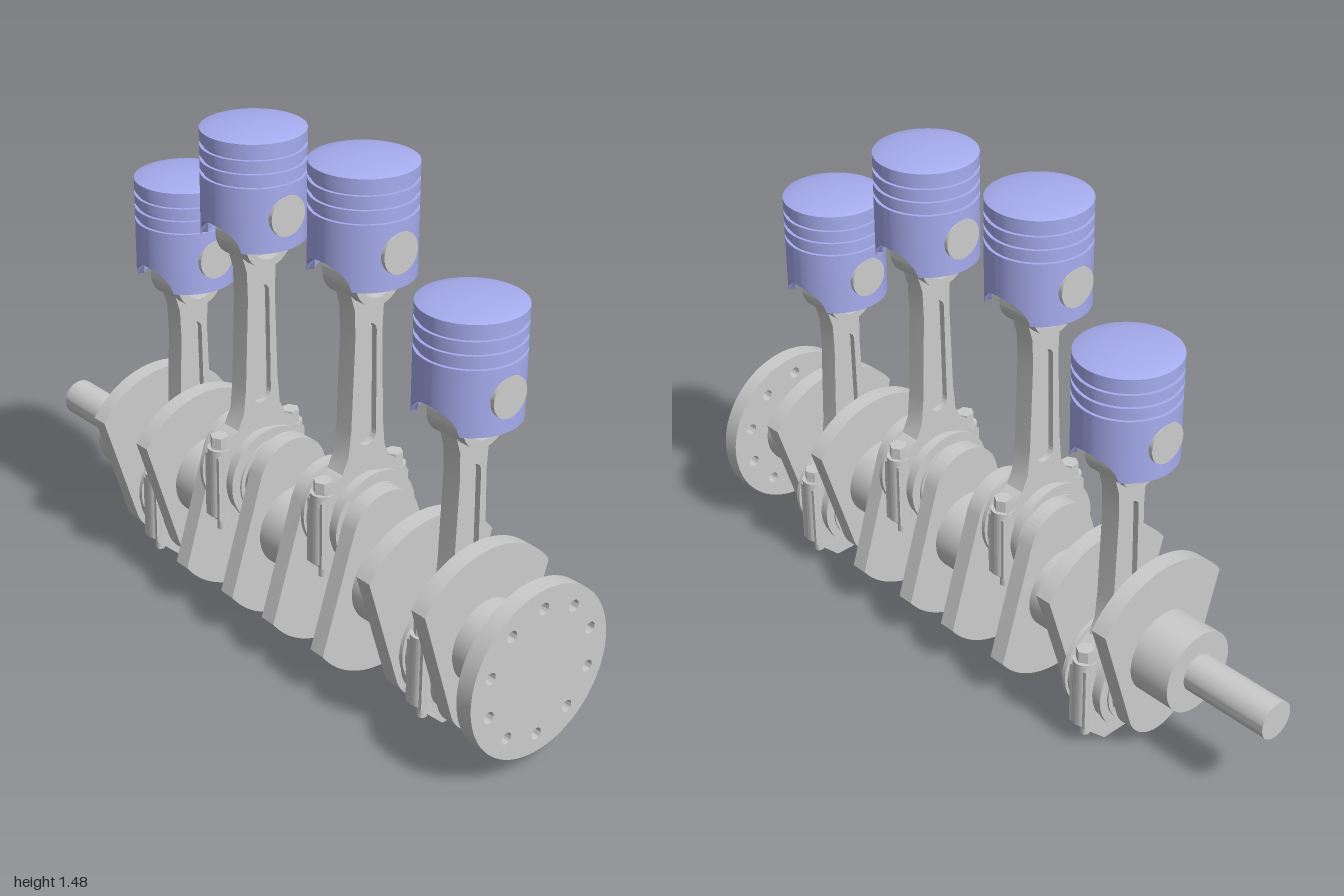
import * as THREE from 'three';
import { toCreasedNormals } from 'three/addons/utils/BufferGeometryUtils.js';

const grey = new THREE.MeshStandardMaterial({ color: 0xcccccc });
const blue = new THREE.MeshStandardMaterial({ color: 0xa6acee });

const AXIS = 0.305;   // height of the crank axis
const THROW = 0.15;   // crank pin offset

function add(parent, name, geometry, material = grey) {
  const mesh = new THREE.Mesh(toCreasedNormals(geometry, 0.5), material);
  mesh.name = name;
  parent.add(mesh);
  return mesh;
}

// cylinder lying along x between two stations
function rodX(x0, x1, r) {
  return new THREE.CylinderGeometry(r, r, x1 - x0, 48).rotateZ(Math.PI / 2).translate((x0 + x1) / 2, 0, 0);
}

// side profile (z, y) extruded along x, centred on x = 0
function plateX(shape, width) {
  return new THREE.ExtrudeGeometry(shape, { depth: width, bevelEnabled: false, curveSegments: 32 })
    .translate(0, 0, -width / 2).rotateY(Math.PI / 2);
}

function circlePath(x, y, r) {
  return new THREE.Path().absarc(x, y, r, 0, Math.PI * 2, true);
}

function ringX(outer, inner, width) {
  const s = new THREE.Shape().absarc(0, 0, outer, 0, Math.PI * 2);
  s.holes.push(circlePath(0, 0, inner));
  return plateX(s, width);
}

// counterweight arc tapering to a rounded crank pin end (pin below the axis)
function webShape() {
  const a = Math.atan2(0.155, 0.22);
  const s = new THREE.Shape();
  s.absarc(0, 0, 0.27, a, Math.PI - a);
  s.absarc(0, -THROW, 0.12, Math.PI + 0.3, Math.PI * 2 - 0.3);
  s.closePath();
  return s;
}

function flangeShape() {
  const s = new THREE.Shape().absarc(0, 0, 0.243, 0, Math.PI * 2);
  for (let i = 0; i < 10; i++) {
    const t = i * Math.PI / 5;
    s.holes.push(circlePath(0.187 * Math.sin(t), 0.187 * Math.cos(t), 0.017));
  }
  return s;
}

// hollow piston with ring grooves, domed crown and arched skirt cutouts
function pistonGeometry() {
  const R = 0.1425, base = 0.89, inner = 0.123;
  const p = [[0, 1.09], [inner, 1.09], [inner, base], [R, base]];
  for (const y of [1.072, 1.11, 1.148]) {
    p.push([R, y], [R - 0.009, y], [R - 0.009, y + 0.013], [R, y + 0.013]);
  }
  p.push([R, 1.193]);
  for (let i = 5; i >= 0; i--) {
    const k = i / 5.2;
    p.push([R * k, 1.21 - 0.016 * k * k]);
  }
  const g = new THREE.LatheGeometry(p.map(([x, y]) => new THREE.Vector2(x, y)), 96);
  const pos = g.attributes.position;
  for (let i = 0; i < pos.count; i++) {
    if (pos.getY(i) > base + 0.001) continue;
    const k = pos.getX(i) / 0.085;
    if (Math.abs(k) < 1) pos.setY(i, base + 0.065 * Math.sqrt(1 - k * k));
  }
  return g;
}

// side outline of the connecting rod, bottom cap at y = 0
function rodShape() {
  const half = [[0.075, 0], [0.155, 0.075], [0.155, 0.27], [0.125, 0.31], [0.085, 0.335],
    [0.064, 0.38], [0.056, 0.46], [0.047, 0.72], [0.05, 0.8], [0.065, 0.85]];
  const pts = [...half, ...half.map(([x, y]) => [-x, y]).reverse()];
  const s = new THREE.Shape(pts.map(([x, y]) => new THREE.Vector2(x, y)));
  s.holes.push(circlePath(0, 0.185, 0.11));
  return s;
}

function slotPath() {
  const s = new THREE.Path();
  s.absarc(0, 0.43, 0.032, 0, -Math.PI, true);
  s.absarc(0, 0.725, 0.027, Math.PI, 0, true);
  s.closePath();
  return s;
}

function buildRod() {
  const rod = new THREE.Group();
  rod.name = 'connectingRod';
  const flanged = rodShape();
  flanged.holes.push(slotPath());
  add(rod, 'rodBeam', plateX(flanged, 0.06));
  const web = new THREE.Shape(slotPath().getPoints(16));
  add(rod, 'rodWeb', plateX(web, 0.024));
  add(rod, 'smallEnd', ringX(0.08, 0.057, 0.13)).position.y = 0.895;
  add(rod, 'bigEnd', ringX(0.132, 0.108, 0.12)).position.y = 0.185;
  add(rod, 'bearingShell', ringX(0.114, 0.1, 0.155)).position.y = 0.185;
  for (const side of [-1, 1]) {
    add(rod, 'bearingLip', ringX(0.142, 0.108, 0.012)).position.set(side * 0.066, 0.19, 0);
    // bolt boss, bolt head above and bolt end below
    const boss = new THREE.CylinderGeometry(0.034, 0.034, 0.21, 24);
    add(rod, 'boltBoss', boss).position.set(0, 0.185, side * 0.128);
    const head = new THREE.CylinderGeometry(0.026, 0.026, 0.04, 6);
    add(rod, 'boltHead', head).position.set(0, 0.305, side * 0.128);
    const end = new THREE.CylinderGeometry(0.014, 0.014, 0.05, 16);
    add(rod, 'boltEnd', end).position.set(0, 0.055, side * 0.122);
  }
  return rod;
}

function buildPiston() {
  const piston = new THREE.Group();
  piston.name = 'piston';
  add(piston, 'pistonBody', pistonGeometry(), blue);
  add(piston, 'wristPin', rodX(-0.143, 0.143, 0.057)).position.y = 0.985;
  for (const side of [-1, 1]) {
    const boss = rodX(-0.022, 0.022, 0.072);
    add(piston, 'pinBoss', boss, blue).position.set(side * 0.097, 0.985, 0);
  }
  return piston;
}

export function createModel() {
  const model = new THREE.Group();
  model.name = 'crankshaftAssembly';

  const crank = new THREE.Group();
  crank.name = 'crankshaft';
  crank.position.y = AXIS;
  model.add(crank);
  add(crank, 'snout', rodX(-1, -0.72, 0.055));
  for (const [x0, x1] of [[-0.73, -0.59], [-0.35, -0.2], [0.035, 0.18], [0.42, 0.57], [0.805, 0.955]]) {
    add(crank, 'mainJournal', rodX(x0, x1, 0.12));
  }
  add(crank, 'flange', plateX(flangeShape(), 0.05)).position.x = 0.975;

  // x of the throw, pin direction, height of the rod cap, sideways offset of rod and piston
  const cylinders = [
    [-0.472, -1, 0, -0.033],
    [-0.087, 1, 0.265, 0.03],
    [0.298, 1, 0.273, -0.013],
    [0.68, -1, 0.014, -0.028],
  ];
  for (const [x, dir, lift, z] of cylinders) {
    add(crank, 'crankPin', rodX(-0.11, 0.11, 0.1)).position.set(x, dir * THROW, 0);
    for (const side of [-1, 1]) {
      const web = add(crank, 'crankWeb', plateX(webShape(), 0.05));
      web.position.x = x + side * 0.103;
      if (dir > 0) web.rotation.x = Math.PI;
    }
    const unit = new THREE.Group();
    unit.name = 'cylinderUnit';
    unit.position.set(x, lift, z);
    unit.add(buildRod(), buildPiston());
    model.add(unit);
  }
  return model;
}
